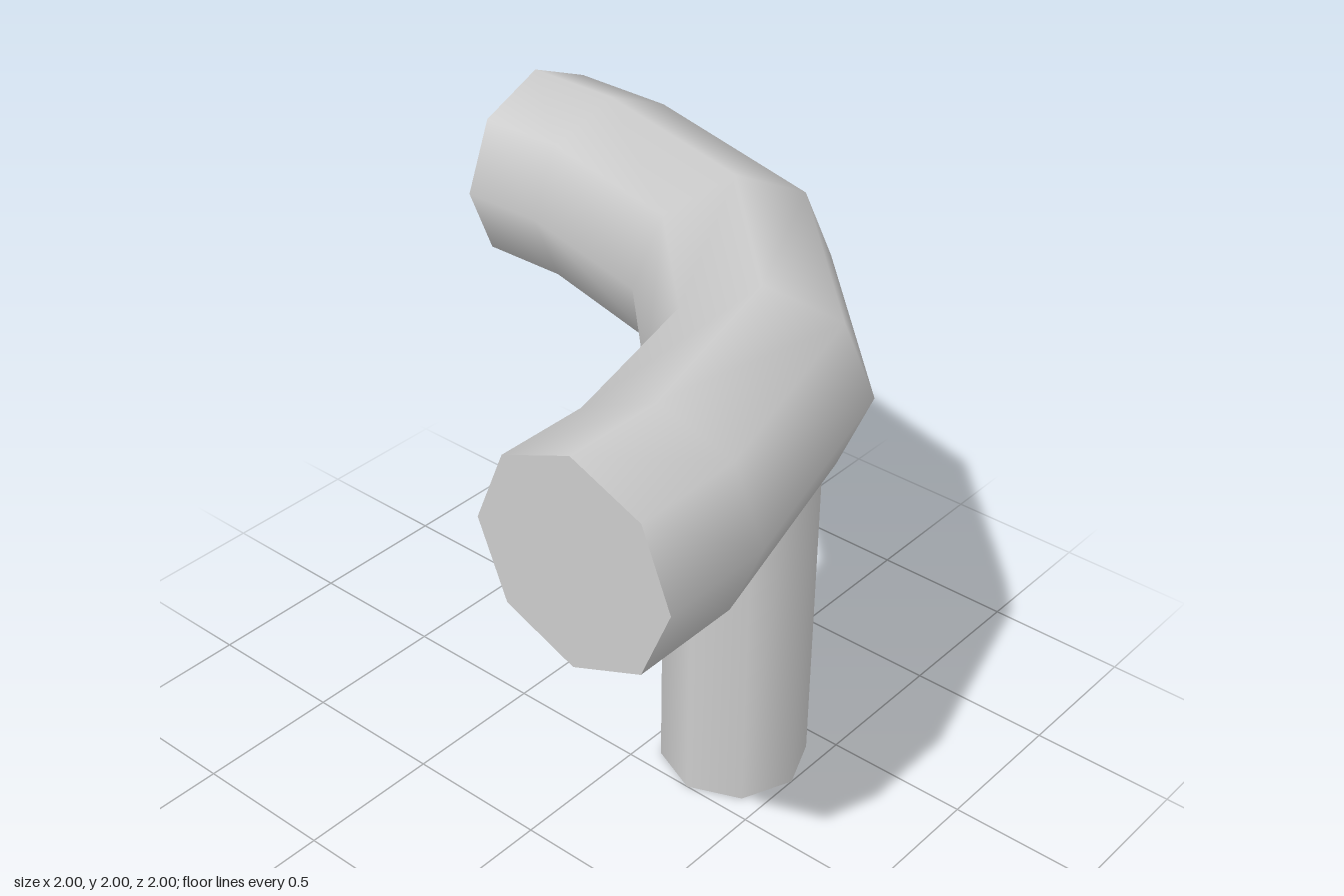
import * as THREE from 'three';

const SIDES = 8, PIPE_R = 1 / 3, PIPE_Y = 5 / 3, BEND_R = 4 / 3;

// Open octagonal tube swept along rings of { x, z, angle }, angle giving the outward side
function sweep(rings) {
  const pos = [], nor = [], index = [];
  rings.forEach(({ x, z, angle }, i) => {
    for (let j = 0; j < SIDES; j++) {
      const a = (j / SIDES) * Math.PI * 2;
      const n = [Math.cos(a) * Math.sin(angle), Math.sin(a), Math.cos(a) * Math.cos(angle)];
      nor.push(...n);
      pos.push(x + PIPE_R * n[0], PIPE_Y + PIPE_R * n[1], z + PIPE_R * n[2]);
      if (i === rings.length - 1) continue;
      const k = (j + 1) % SIDES, p = i * SIDES, q = p + SIDES;
      index.push(p + j, q + j, p + k, p + k, q + j, q + k);
    }
  });
  const g = new THREE.BufferGeometry();
  g.setAttribute('position', new THREE.Float32BufferAttribute(pos, 3));
  g.setAttribute('normal', new THREE.Float32BufferAttribute(nor, 3));
  g.setIndex(index);
  return g;
}

export function createModel() {
  const group = new THREE.Group();
  const grey = new THREE.MeshStandardMaterial({ color: 0xcccccc });
  grey.name = 'light grey';
  const add = (name, geometry) => {
    const mesh = new THREE.Mesh(geometry, grey);
    mesh.name = name;
    group.add(mesh);
  };

  // Quarter bend in three mitred segments, with a straight length at each end
  const deg = Math.PI / 180, c = -2 / 3;
  const rings = [{ x: -1, z: 2 / 3, angle: 0 }];
  [0, 30, 60, 90].forEach((d, i) => {
    const tilt = [7.5, 30, 60, 82.5][i];
    rings.push({
      x: c + BEND_R * Math.sin(d * deg),
      z: c + BEND_R * Math.cos(d * deg),
      angle: tilt * deg,
    });
  });
  rings.push({ x: 2 / 3, z: -1, angle: 90 * deg });
  add('bentPipe', sweep(rings));

  // Flat ends of the bent pipe
  add('rightEndCap', new THREE.CircleGeometry(PIPE_R, SIDES).rotateY(-Math.PI / 2).translate(-1, PIPE_Y, 2 / 3));
  add('backEndCap', new THREE.CircleGeometry(PIPE_R, SIDES).rotateY(Math.PI).translate(2 / 3, PIPE_Y, -1));

  // Vertical branch meeting the middle of the bend
  add('verticalPipe', new THREE.CylinderGeometry(0.25, 0.25, PIPE_Y, SIDES).translate(0.25, PIPE_Y / 2, 0.25));

  return group;
}
